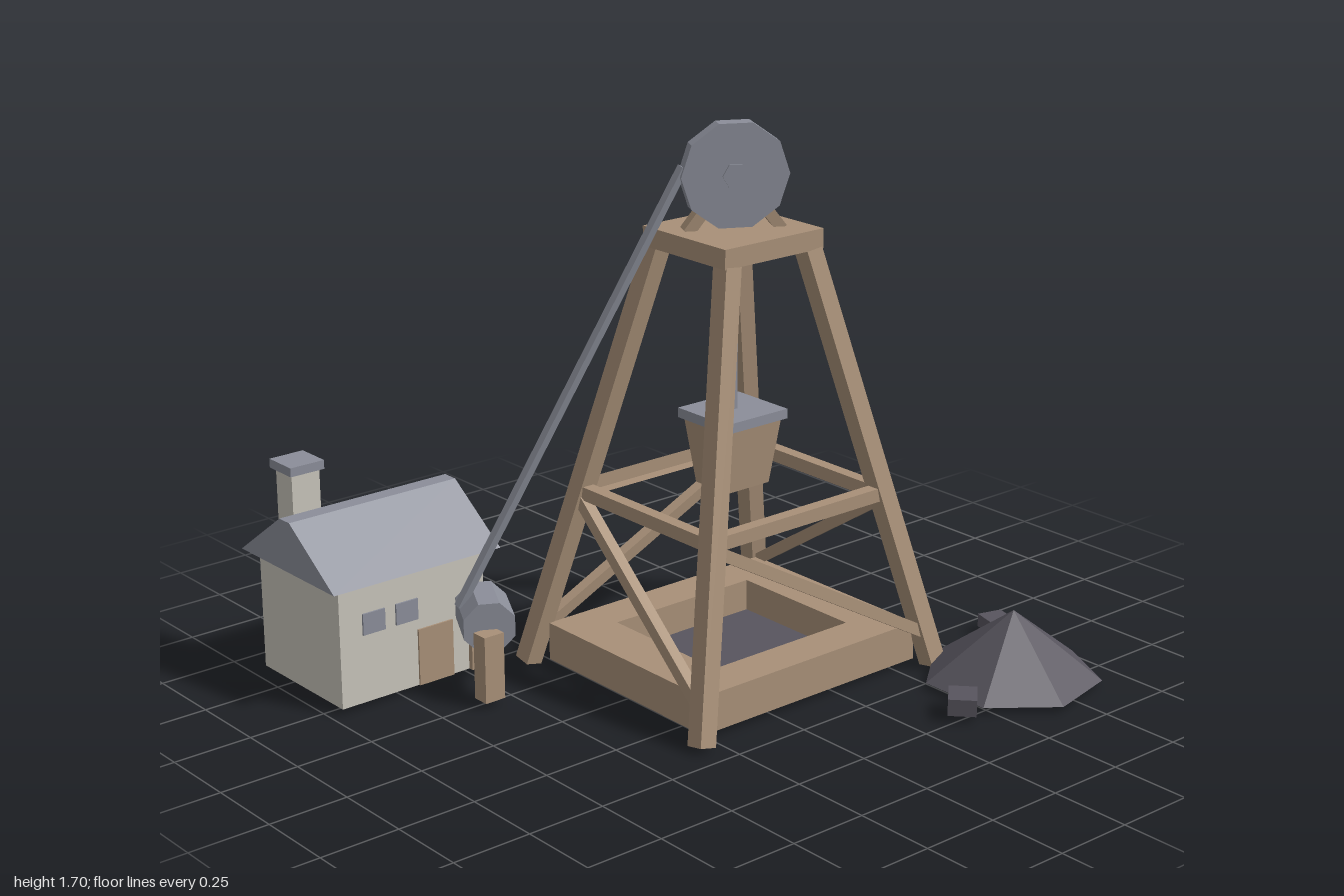
import * as THREE from 'three';

const mat = (name, color) => {
  const m = new THREE.MeshStandardMaterial({ color });
  m.name = name;
  return m;
};

export function createModel() {
  const wood = mat('wood', 0xa89078);
  const steel = mat('slate grey', 0x8b8e99);
  const plaster = mat('plaster', 0xc8c4ba);
  const coal = mat('coal', 0x58555e);
  const model = new THREE.Group();
  model.name = 'mineHead';

  const add = (name, geo, material, pos = [0, 0, 0], parent = model) => {
    const flat = geo.index ? geo.toNonIndexed() : geo;
    flat.computeVertexNormals();
    const mesh = new THREE.Mesh(flat, material);
    mesh.name = name;
    mesh.position.set(...pos);
    parent.add(mesh);
    return mesh;
  };
  // Box given by its min and max corners
  const box = (name, material, a, b, parent) => add(name,
    new THREE.BoxGeometry(b[0] - a[0], b[1] - a[1], b[2] - a[2]), material,
    a.map((v, i) => (v + b[i]) / 2), parent);
  // Square beam between two points
  const beam = (name, material, a, b, w, d = w, parent = model) => {
    const p = new THREE.Vector3(...a), q = new THREE.Vector3(...b);
    const dir = q.clone().sub(p);
    const mesh = add(name, new THREE.BoxGeometry(w, dir.length(), d), material,
      p.clone().add(q).multiplyScalar(0.5).toArray(), parent);
    mesh.quaternion.setFromUnitVectors(new THREE.Vector3(0, 1, 0), dir.normalize());
    return mesh;
  };
  // Cylinder lying along z with a flat side on top
  const drum = (r, len, sides) =>
    new THREE.CylinderGeometry(r, r, len, sides, 1, false, Math.PI / sides).rotateX(Math.PI / 2);

  // Tower
  const cx = 0.15, cz = 0.005;
  const corners = [[1, 1], [-1, 1], [-1, -1], [1, -1]];
  const legPoint = ([sx, sz], y, inset = 0) => {
    const t = y / 1.33;
    return [cx + sx * (0.47 - 0.315 * t - inset), y, cz + sz * (0.41 - 0.255 * t - inset)];
  };
  corners.forEach((c, i) => {
    const next = corners[(i + 1) % 4];
    beam('towerLeg', wood, legPoint(c, 0.013), legPoint(c, 1.335), 0.058);
    beam('diagonalBrace', wood, legPoint(c, 0.11), legPoint(next, 0.55), 0.036);
    const p = legPoint(c, 0.568), q = legPoint(next, 0.568);
    if (i % 2 === 0) box('crossRail', wood, [q[0], 0.548, p[2] - 0.02], [p[0], 0.59, p[2] + 0.02]).scale.x = 0.97;
    else box('crossRail', wood, [p[0] - 0.02, 0.546, Math.min(p[2], q[2])], [p[0] + 0.02, 0.588, Math.max(p[2], q[2])]).scale.z = 0.97;
  });
  box('topPlatform', wood, [-0.04, 1.325, -0.175], [0.34, 1.385, 0.19]);

  // Shaft collar with dark pit floor
  const rect = (S, w, h) => {
    const s = new S();
    s.moveTo(-w, -h).lineTo(w, -h).lineTo(w, h).lineTo(-w, h).closePath();
    return s;
  };
  const collar = rect(THREE.Shape, 0.425, 0.36);
  collar.holes.push(rect(THREE.Path, 0.265, 0.228));
  add('shaftCollar', new THREE.ExtrudeGeometry(collar, { depth: 0.12, bevelEnabled: false })
    .rotateX(-Math.PI / 2), wood, [cx, 0.02, cz + 0.005]);
  box('pitFloor', coal, [cx - 0.265, 0.021, cz - 0.223], [cx + 0.265, 0.04, cz + 0.233]);

  // Pulley wheel on its A-frame
  const turn = -28 * Math.PI / 180;
  const pulley = new THREE.Group();
  pulley.name = 'pulley';
  pulley.position.set(cx, 1.543, 0.01);
  pulley.rotation.y = turn;
  model.add(pulley);
  add('pulleyWheel', drum(0.162, 0.05, 10), steel, [0, 0, 0], pulley);
  add('pulleyHub', drum(0.04, 0.062, 6), steel, [0, 0, 0], pulley);
  for (const s of [-1, 1])
    beam('pulleyStrut', wood, [0, 0.02, 0], [s * 0.14, -0.165, 0], 0.034, 0.049, pulley);

  // Hoist bucket and ropes
  beam('hoistRope', steel, [cx, 0.82, 0.01], [cx, 1.34, 0.01], 0.02);
  box('bucketRim', steel, [0.03, 0.8, -0.1], [0.27, 0.83, 0.12]);
  add('bucket', new THREE.CylinderGeometry(0.153, 0.115, 0.205, 4, 1)
    .rotateY(Math.PI / 4).scale(1, 1, 0.89), wood, [cx, 0.7, 0.01]);
  beam('winchCable', steel, [-0.59, 0.27, -0.375], [0.018, 1.57, -0.062], 0.024);

  // Winch
  add('winchDrum', drum(0.083, 0.18, 8), steel, [-0.527, 0.235, -0.333]).rotation.y = turn;
  box('winchPost', wood, [-0.62, 0.02, -0.265], [-0.55, 0.23, -0.21]);
  box('winchPost', wood, [-0.505, 0.02, -0.495], [-0.435, 0.23, -0.435]);

  // Engine house
  box('houseWalls', plaster, [-0.963, 0.02, -0.875], [-0.445, 0.402, -0.452]);
  const gable = new THREE.Shape();
  gable.moveTo(0.415, 0.4).lineTo(0.915, 0.4).lineTo(0.692, 0.56).lineTo(0.64, 0.56).closePath();
  add('houseRoof', new THREE.ExtrudeGeometry(gable, { depth: 0.595, bevelEnabled: false })
    .rotateY(Math.PI / 2), steel, [-1, 0, 0]);
  box('chimney', plaster, [-0.922, 0.45, -0.825], [-0.825, 0.665, -0.74]);
  box('chimneyCap', steel, [-0.932, 0.662, -0.843], [-0.815, 0.69, -0.728]);
  for (const x of [-0.845, -0.728])
    box('window', steel, [x - 0.039, 0.235, -0.453], [x + 0.039, 0.302, -0.446]);
  box('door', wood, [-0.69, 0.02, -0.453], [-0.565, 0.2, -0.446]);

  // Spoil heap and loose lumps
  add('spoilHeap', new THREE.ConeGeometry(0.273, 0.208, 7, 1, false, Math.PI / 2), coal, [0.72, 0.124, 0.645]);
  add('lump', new THREE.BoxGeometry(0.082, 0.042, 0.073), coal, [0.94, 0.041, 0.37]).rotation.y = -0.27;
  add('lump', new THREE.BoxGeometry(0.102, 0.052, 0.085), coal, [0.42, 0.047, 0.73]).rotation.y = 0.75;

  return model;
}
